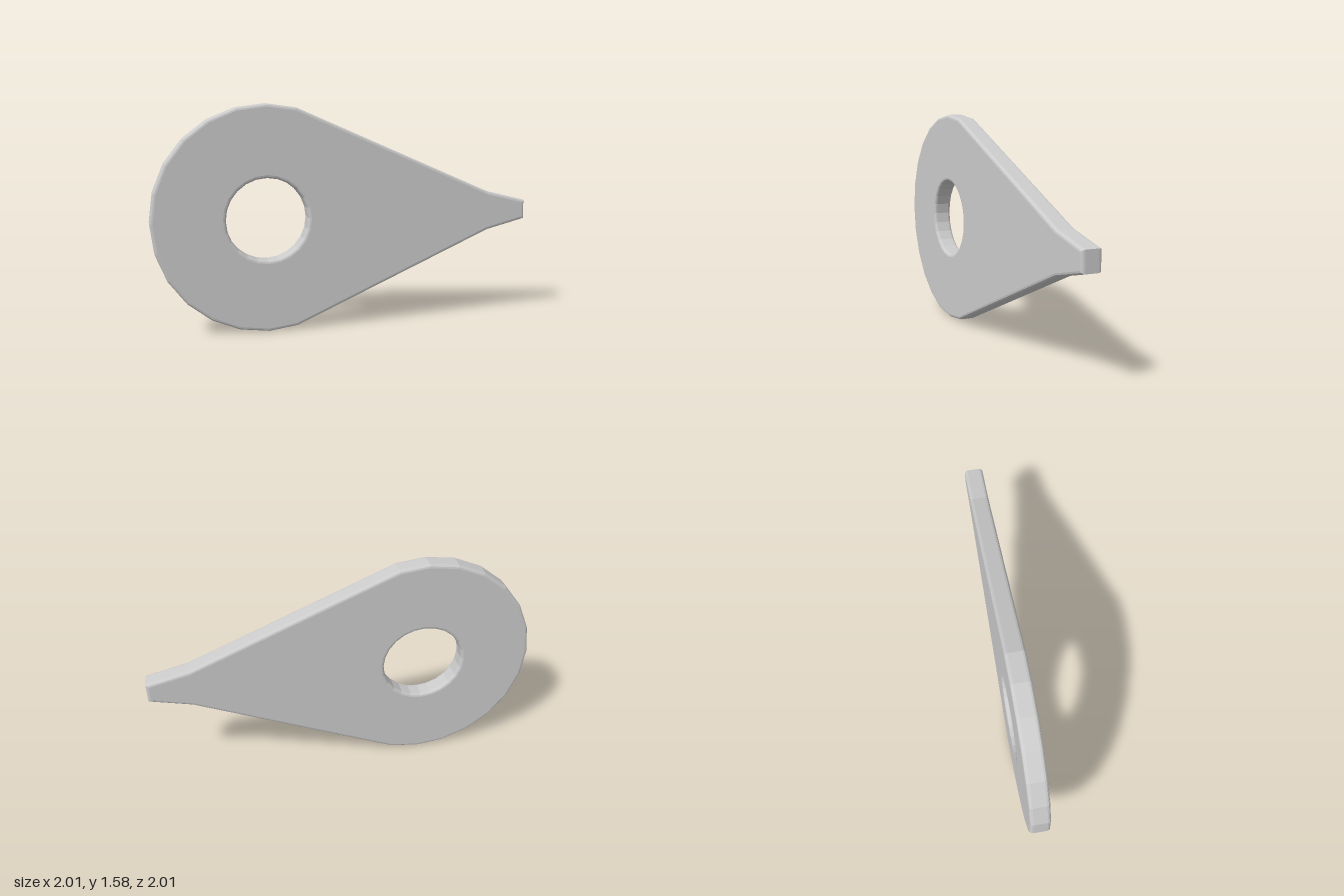
import * as THREE from 'three';

const R = 0.79;          // radius of the round end
const CX = -0.575;       // centre of the round end along the plate
const HALF = 0.068;      // half thickness
const BEVEL = 0.022;

// points of an arc about the round end's centre, every 15 degrees
function arc(radius, from, to) {
  const pts = [];
  for (let a = from; a <= to; a += 15) {
    const t = THREE.MathUtils.degToRad(a);
    pts.push(new THREE.Vector2(CX + radius * Math.cos(t), radius * Math.sin(t)));
  }
  return pts;
}

export function createModel() {
  const group = new THREE.Group();
  group.name = 'teardropTag';

  // teardrop outline: faceted round end, straight flanks, narrow blunt tip
  const outline = new THREE.Shape([
    ...arc(R, 75, 285),
    new THREE.Vector2(1.07, -0.142),
    new THREE.Vector2(1.366, -0.07),
    new THREE.Vector2(1.366, 0.07),
    new THREE.Vector2(1.07, 0.142),
  ]);
  // round eye through the wide end
  outline.holes.push(new THREE.Path(arc(0.286, 0, 345).reverse()));

  const depth = 2 * (HALF - BEVEL);
  const geometry = new THREE.ExtrudeGeometry(outline, {
    depth,
    bevelEnabled: true,
    bevelThickness: BEVEL,
    bevelSize: BEVEL,
    bevelOffset: -BEVEL,
    bevelSegments: 3,
  });
  geometry.translate(0, 0, -depth / 2);

  // plate stands on its rim, turned diagonally
  const plate = new THREE.Mesh(geometry, new THREE.MeshStandardMaterial({ color: 0xcccccc }));
  plate.name = 'plate';
  plate.rotation.y = Math.PI / 4;
  plate.position.y = R;
  group.add(plate);
  return group;
}
